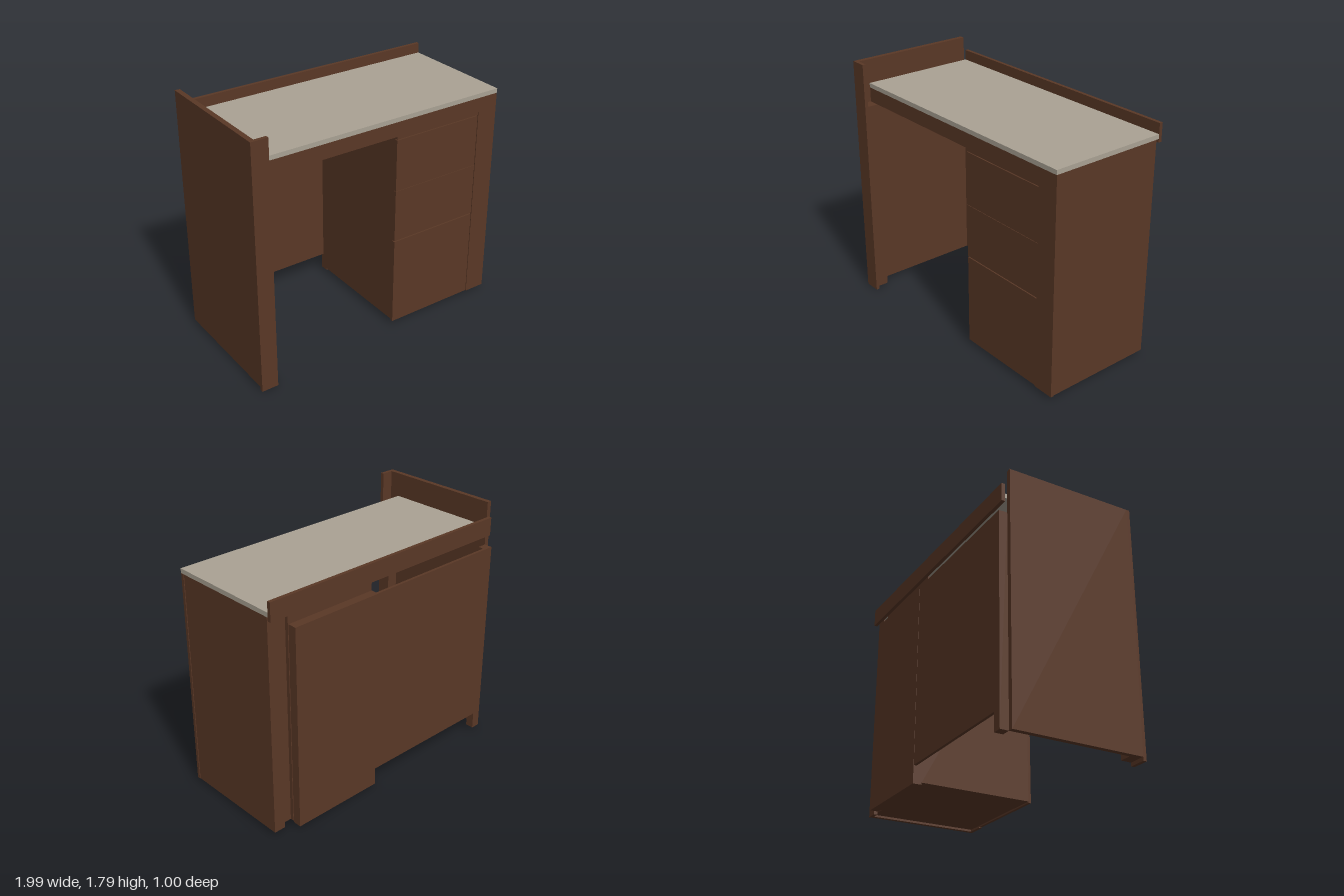
import * as THREE from 'three';

export function createModel() {
  const desk = new THREE.Group();
  desk.name = 'desk';
  const wood = new THREE.MeshStandardMaterial({ color: 0x5a3826 });
  wood.name = 'dark wood';
  const stone = new THREE.MeshStandardMaterial({ color: 0xaaa294 });
  stone.name = 'pale worktop';

  // Box given by its limits on each axis
  const slab = (name, [x0, x1], [y0, y1], [z0, z1], material = wood) => {
    const mesh = new THREE.Mesh(new THREE.BoxGeometry(x1 - x0, y1 - y0, z1 - z0), material);
    mesh.position.set((x0 + x1) / 2, (y0 + y1) / 2, (z0 + z1) / 2);
    mesh.name = name;
    desk.add(mesh);
  };

  // Tall end panel with its front stile and corner posts
  slab('endPanel', [-1, -0.965], [0.025, 1.79], [-0.44, 0.475]);
  slab('endStile', [-1, -0.88], [0, 1.79], [0.475, 0.5]);
  slab('frontPost', [-0.965, -0.88], [0.025, 1.48], [0.4, 0.475]);
  slab('backPost', [-0.965, -0.9], [0.025, 1.48], [-0.5, -0.44]);

  // Worktop, front apron and rear upstand
  slab('worktop', [-0.965, 0.99], [1.585, 1.617], [-0.455, 0.4], stone);
  slab('apron', [-0.965, 0.99], [1.48, 1.585], [0.375, 0.398]);
  slab('upstand', [-0.965, 0.99], [1.56, 1.69], [-0.48, -0.455]);

  // Side panel with its front and back stiles
  slab('sidePanel', [0.955, 0.985], [0.025, 1.585], [-0.415, 0.375]);
  slab('sideFrontStile', [0.833, 0.99], [0.025, 1.48], [0.375, 0.398]);
  slab('sideBackStile', [0.9, 0.985], [0.025, 1.585], [-0.44, -0.415]);

  // Drawer cabinet
  slab('cabinetBody', [0.14, 0.83], [0.04, 1.585], [-0.44, 0.375]);
  slab('cabinetBack', [0.14, 0.825], [0.025, 1.48], [-0.502, -0.44]);
  slab('cabinetFiller', [0.83, 0.955], [0.04, 1.58], [-0.415, 0.375]);
  const drawers = [[0.03, 0.687], [0.695, 1.076], [1.079, 1.452]];
  drawers.forEach((y, i) => slab(`drawerFront${i + 1}`, [0.14, 0.83], y, [0.375, 0.395]));
  slab('drawerRail', [0.14, 0.833], [1.458, 1.48], [0.375, 0.395]);

  // Panel closing the back of the knee space
  slab('kneePanel', [-0.9, 0.14], [0.15, 1.48], [-0.5, -0.48]);

  return desk;
}
